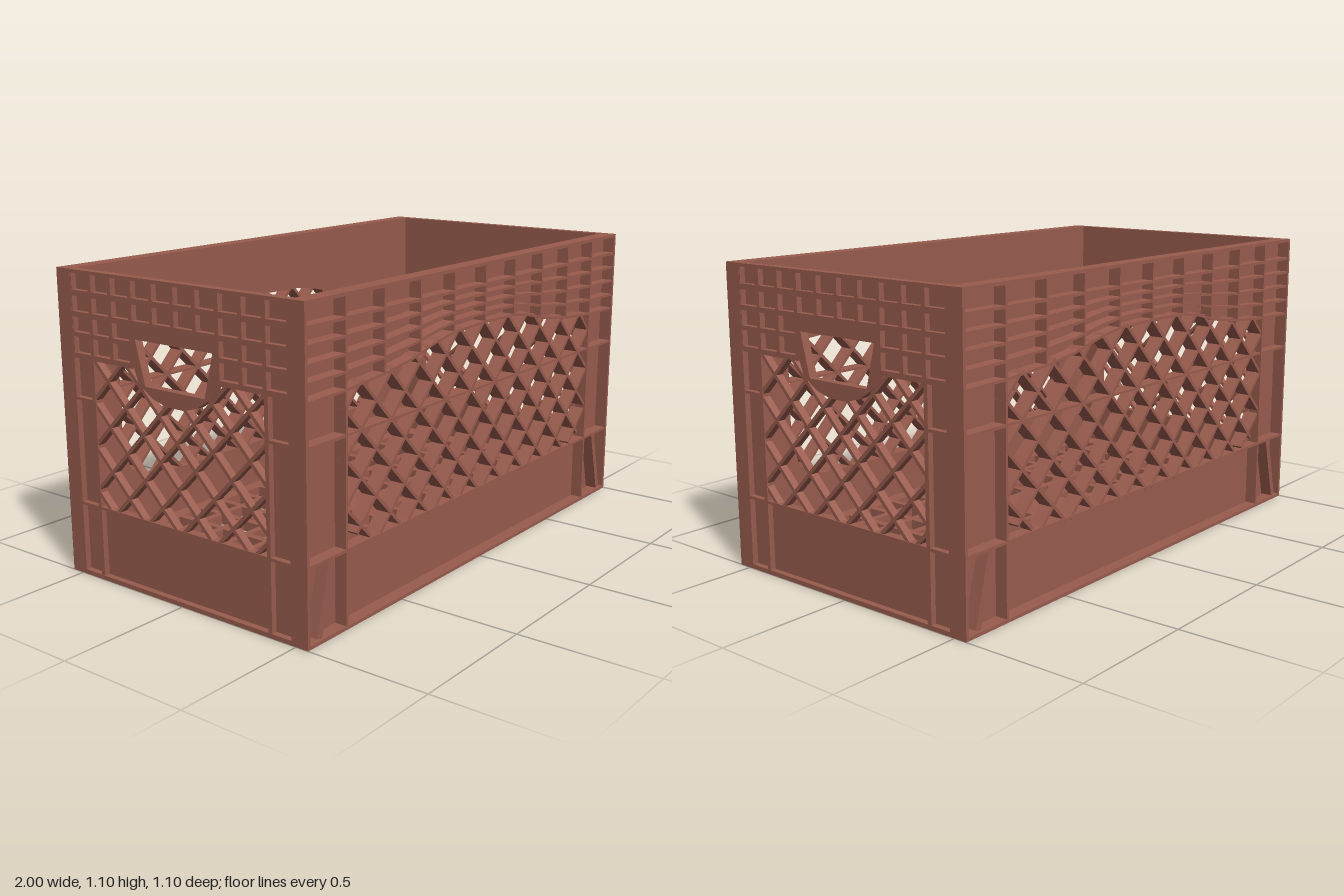
import * as THREE from 'three';
import { mergeGeometries } from 'three/addons/utils/BufferGeometryUtils.js';

const plastic = new THREE.MeshStandardMaterial({ color: 0x995c4e });
plastic.name = 'terracotta plastic';

const LONG_DEPTH = 0.06, END_DEPTH = 0.032, TOP = 1.1, FLOOR = 0.065;

// Straight rib between two points of a wall, reaching from z0 to z1
function bar(a, b, width, z0, z1) {
  const dx = b[0] - a[0], dy = b[1] - a[1];
  const g = new THREE.BoxGeometry(Math.hypot(dx, dy), width, z1 - z0);
  g.rotateZ(Math.atan2(dy, dx));
  g.translate((a[0] + b[0]) / 2, (a[1] + b[1]) / 2, (z0 + z1) / 2);
  return g.toNonIndexed();
}

// Flat plate with holes, reaching from z0 to z1
function plate(outline, holes, z0, z1) {
  const toPoints = (list) => list.map(([x, y]) => new THREE.Vector2(x, y));
  const shape = new THREE.Shape(toPoints(outline));
  for (const h of holes) shape.holes.push(new THREE.Path(toPoints(h)));
  const g = new THREE.ExtrudeGeometry(shape, { depth: z1 - z0, bevelEnabled: false });
  return g.translate(0, 0, z0);
}

const rect = (x0, y0, x1, y1) => [[x0, y0], [x1, y0], [x1, y1], [x0, y1]];
const mirrored = (half) => [...half, ...half.map(([x, y]) => [-x, y]).reverse()];

// Diagonal bars clipped to the outline of an opening, ends sunk into its edge
function lattice(outline, centreY, period, width, z0, z1) {
  const bars = [], sink = 0.006;
  for (const slope of [1, -1]) {
    for (let k = -10; k <= 10; k++) {
      const offset = centreY + k * period;
      const side = ([x, y]) => y - slope * x - offset;
      const hits = [];
      outline.forEach((p, i) => {
        const q = outline[(i + 1) % outline.length];
        const a = side(p), b = side(q);
        if ((a < 0) === (b < 0)) return;
        const t = a / (a - b);
        hits.push([p[0] + (q[0] - p[0]) * t, p[1] + (q[1] - p[1]) * t]);
      });
      hits.sort((p, q) => p[0] - q[0]);
      for (let i = 0; i + 1 < hits.length; i += 2) {
        const [p, q] = [hits[i], hits[i + 1]];
        bars.push(bar([p[0] - sink, p[1] - slope * sink], [q[0] + sink, q[1] + slope * sink], width, z0, z1));
      }
    }
  }
  return bars;
}

function addPart(group, name, geometries) {
  const mesh = new THREE.Mesh(mergeGeometries(geometries), plastic);
  mesh.name = name;
  group.add(mesh);
}

// Upper edge of the long opening
const ARCH = [[0, 0.885], [0.2, 0.88], [0.3, 0.865], [0.45, 0.83], [0.6, 0.81], [0.8, 0.795], [1, 0.79]];
function archHeight(x) {
  const u = Math.abs(x);
  const i = Math.max(1, ARCH.findIndex((p) => p[0] >= u - 1e-6));
  const [a, b] = [ARCH[i - 1], ARCH[i]];
  return a[1] + (b[1] - a[1]) * (u - a[0]) / (b[0] - a[0]);
}

function longWall(name) {
  const group = new THREE.Group();
  group.name = name;
  const back = -LONG_DEPTH, face = -0.002, skin = back + 0.012;
  const opening = mirrored([
    [0.6, 0.27], [0.7, 0.29], [0.76, 0.33], [0.785, 0.4], [0.795, 0.5],
    ...ARCH.slice(1, 6).reverse().map(([x, y]) => [Math.min(x, 0.795), y]),
  ]);
  addPart(group, 'wallPanel', [plate(rect(-1, 0, 1, TOP), [opening], back, skin)]);
  addPart(group, 'lattice', [
    ...lattice(opening, 0.41, 0.16, 0.012, back, -0.006),
    bar([-0.8, 0.65], [0.8, 0.65], 0.008, back, -0.004),
  ]);

  const ribs = [
    bar([-1, 0.006], [1, 0.006], 0.012, back, 0),
    bar([-1, 0.27], [1, 0.27], 0.01, back, face),
    bar([-1, 1.02], [1, 1.02], 0.01, back, face),
  ];
  // Ribs that gradually follow the arch
  const rows = 4, xs = ARCH.map((p) => p[0]);
  for (let row = 1; row <= rows; row++) {
    const level = (x) => 1.02 - (1.02 - archHeight(x)) * row / rows;
    for (const s of [-1, 1]) {
      for (let i = 1; i < xs.length; i++) {
        ribs.push(bar([s * xs[i - 1], level(xs[i - 1])], [s * xs[i], level(xs[i])], 0.009, back, face));
      }
    }
  }
  for (let i = -4; i <= 4; i++) {
    const x = i * 0.2;
    ribs.push(bar([x, archHeight(x)], [x, TOP - 0.005], 0.01, back, face));
  }
  // Corner cells with slanted braces
  for (const s of [-1, 1]) {
    ribs.push(
      bar([s * 0.8, 0], [s * 0.8, 0.8], 0.01, back, face),
      bar([s * 0.994, 0], [s * 0.994, TOP - 0.005], 0.012, back, 0),
      bar([s * 0.8, 0.65], [s, 0.65], 0.01, back, face),
      bar([s * 0.877, 0.27], [s * 0.942, 0.02], 0.025, back, face),
    );
  }
  addPart(group, 'ribs', ribs);
  return group;
}

function endWall(name) {
  const group = new THREE.Group();
  group.name = name;
  const back = -END_DEPTH, face = -0.001, skin = back + 0.01;
  const lip = [[0.04, 0.688], [0.1, 0.705], [0.165, 0.745], [0.185, 0.8]];
  const opening = mirrored([[0.385, 0.27], [0.385, 0.8], ...lip.slice().reverse()]);
  const handle = mirrored([[0.135, 0.742], [0.175, 0.895]]);
  addPart(group, 'wallPanel', [plate(rect(-0.5, 0, 0.5, TOP), [opening, handle], back, skin)]);
  addPart(group, 'lattice', lattice(opening, 0.41, 0.16, 0.013, back, -0.004));
  addPart(group, 'handleFrame', [
    plate(mirrored([...lip, [0.2, 0.8], [0.2, 0.95]]), [handle], back, face),
  ]);

  const ribs = [
    bar([-0.5, 0.008], [0.5, 0.008], 0.016, back, 0),
    bar([-0.5, 0.267], [0.5, 0.267], 0.01, back, face),
    bar([-0.5, 1.02], [0.5, 1.02], 0.02, back, face),
    bar([-0.5, 0.947], [0.5, 0.947], 0.018, back, face),
  ];
  // Upper grid of cells, interrupted by the handle
  for (let i = -5; i <= 5; i++) {
    const x = i * 0.0972;
    const bottom = Math.abs(i) <= 1 ? 0.94 : 0.8;
    ribs.push(bar([x, bottom], [x, TOP - 0.005], 0.016, back, face));
  }
  for (const s of [-1, 1]) {
    ribs.push(
      bar([s * 0.19, 0.877], [s * 0.5, 0.877], 0.016, back, face),
      bar([s * 0.19, 0.803], [s * 0.5, 0.803], 0.018, back, face),
      bar([s * 0.395, 0.65], [s * 0.5, 0.65], 0.01, back, face),
      bar([s * 0.393, 0], [s * 0.393, 0.81], 0.016, back, face),
      bar([s * 0.515, 0], [s * 0.515, TOP - 0.005], 0.066, -0.012, 0),
      bar([s * 0.489, 0], [s * 0.489, TOP - 0.005], 0.014, back, 0),
    );
  }
  addPart(group, 'ribs', ribs);
  return group;
}

// Rounded cove from the foot of the walls up to the underside of the floor
function footCove() {
  const sides = [];
  const profile = new THREE.Shape();
  profile.moveTo(0, 0).quadraticCurveTo(0.012, FLOOR * 0.75, 0.055, FLOOR + 0.004);
  profile.lineTo(0, FLOOR + 0.004);
  for (let i = 0; i < 4; i++) {
    const along = i % 2 === 0;
    const length = along ? 1.94 : 0.98, reach = along ? 0.491 : 0.97;
    const g = new THREE.ExtrudeGeometry(profile, { depth: length, bevelEnabled: false, curveSegments: 6 });
    g.translate(-reach, 0, -length / 2);
    g.rotateY(Math.PI / 2 * (i + 1));
    sides.push(g);
  }
  return sides;
}

export function createModel() {
  const model = new THREE.Group();
  model.name = 'crate';

  // Four walls
  [['frontWall', 1], ['backWall', -1]].forEach(([name, s]) => {
    const wall = longWall(name);
    wall.position.z = s * 0.55;
    if (s < 0) wall.rotation.y = Math.PI;
    model.add(wall);
  });
  [['leftWall', 1], ['rightWall', -1]].forEach(([name, s]) => {
    const wall = endWall(name);
    wall.position.x = s;
    wall.rotation.y = s * Math.PI / 2;
    model.add(wall);
  });

  // Top rim
  const rim = plate(rect(-1, -0.55, 1, 0.55), [rect(-0.968, -0.49, 0.968, 0.49)], 0, 0.012);
  rim.rotateX(-Math.PI / 2).translate(0, TOP - 0.012, 0);
  addPart(model, 'topRim', [rim]);

  // Raised floor grid with a solid middle pad
  const step = 0.1125, half = 0.0425, holes = [];
  for (let i = -8; i < 8; i++) {
    for (let j = -4; j < 4; j++) {
      if (i >= -1 && i <= 0 && j >= -1 && j <= 0) continue;
      const x = (i + 0.5) * step, z = (j + 0.5) * step;
      holes.push(rect(x - half, z - half, x + half, z + half));
    }
  }
  const floor = plate(rect(-0.975, -0.495, 0.975, 0.495), holes, 0, 0.038);
  floor.rotateX(-Math.PI / 2).translate(0, FLOOR, 0);
  addPart(model, 'floorGrid', [floor]);
  addPart(model, 'footCove', footCove());
  return model;
}
